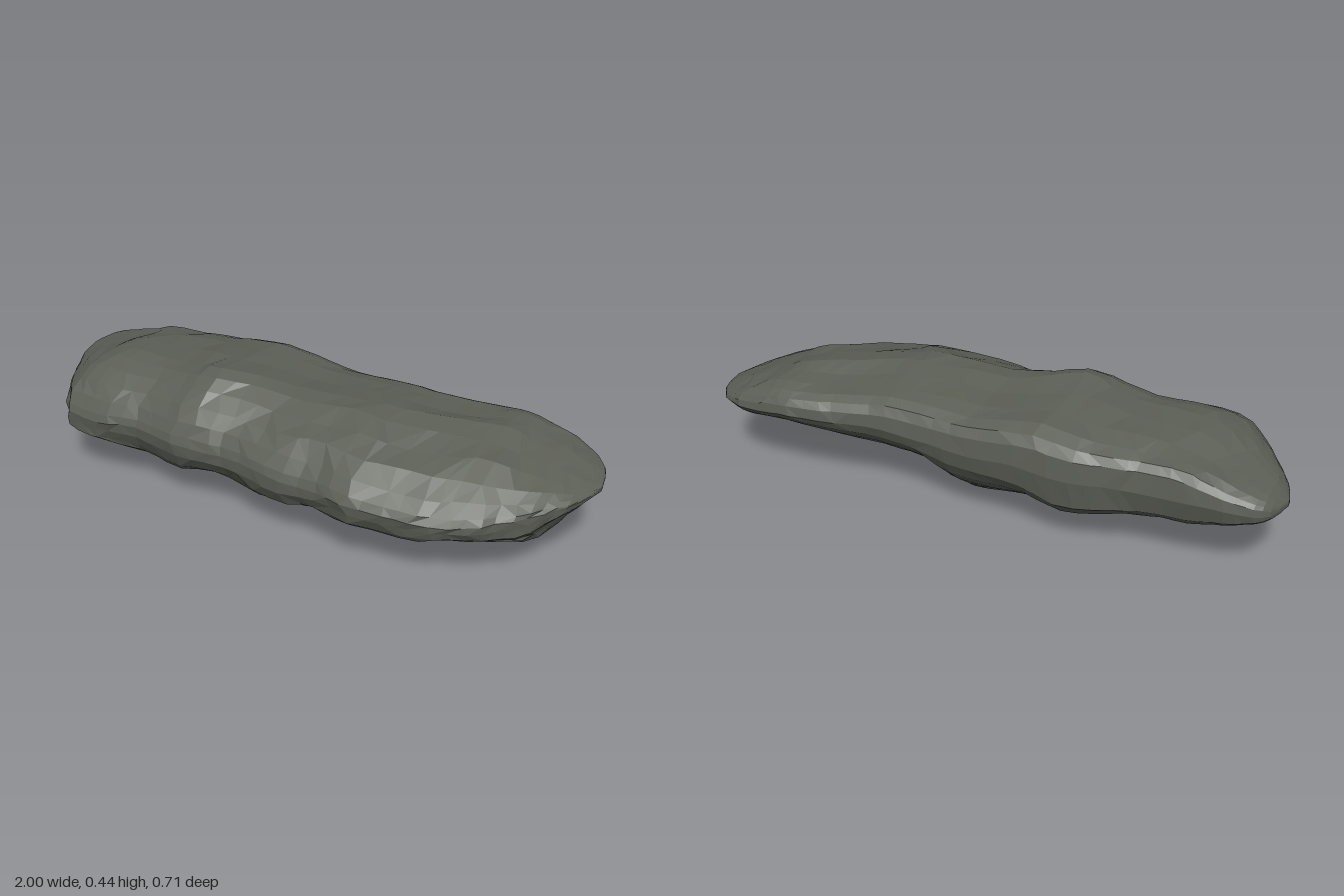
import * as THREE from 'three';

// Outline and height profiles along x: [x, value]
const BACK = [[-1, -0.09], [-0.98, -0.17], [-0.94, -0.21], [-0.85, -0.23], [-0.6, -0.25], [-0.35, -0.3], [-0.1, -0.295],
  [0.15, -0.285], [0.35, -0.295], [0.5, -0.33], [0.63, -0.357], [0.75, -0.357], [0.85, -0.345], [0.93, -0.305], [0.98, -0.24], [1, -0.15]];
const FRONT = [[-1, -0.07], [-0.98, 0.01], [-0.94, 0.09], [-0.85, 0.23], [-0.77, 0.33], [-0.6, 0.337], [-0.47, 0.31], [-0.31, 0.33],
  [-0.1, 0.3], [0.1, 0.33], [0.22, 0.32], [0.36, 0.352], [0.6, 0.315], [0.75, 0.24], [0.85, 0.15], [0.95, 0.02], [0.98, -0.05], [1, -0.13]];
const TOP = [[-1, 0.275], [-0.95, 0.32], [-0.85, 0.35], [-0.7, 0.405], [-0.4, 0.418], [-0.25, 0.445], [0, 0.413],
  [0.3, 0.42], [0.5, 0.395], [0.7, 0.385], [0.85, 0.335], [0.95, 0.295], [1, 0.27]];
const BOTTOM = [[-1, 0.255], [-0.95, 0.21], [-0.85, 0.13], [-0.73, 0.08], [-0.62, 0.1], [-0.4, 0.045], [-0.3, 0.03], [-0.17, 0.06],
  [0.04, 0.002], [0.13, 0.02], [0.2, 0.085], [0.3, 0.07], [0.45, 0.085], [0.65, 0.11], [0.86, 0.1], [0.92, 0.18], [1, 0.255]];
// Where the highest and lowest lines run, from back 0 to front 1
const PEAK = [[-1, 0.5], [-0.65, 0.55], [-0.25, 0.66], [0, 0.52], [0.3, 0.45], [0.7, 0.35], [1, 0.45]];
const KEEL = [[-1, 0.5], [-0.73, 0.75], [-0.3, 0.58], [-0.15, 0.5], [0.04, 0.47], [0.3, 0.55], [0.6, 0.66], [0.86, 0.72], [1, 0.5]];
// Roundness of the back, above and below the rim: smaller is fuller
const BACK_TOP = [[-1, 0.7], [-0.7, 0.5], [-0.3, 0.6], [0, 0.7], [0.4, 0.9], [1, 0.9]];
const BACK_BELOW = [[-1, 0.7], [-0.6, 0.5], [-0.3, 0.5], [0, 0.85], [0.4, 1], [0.86, 1.2], [1, 1]];

// Cross-section: [depth from back 0 to front 1, height -1 keel, 0 rim, 1 peak]
const SECTION = [[0, 0], [0.01, 0.3], [0.04, 0.53], [0.1, 0.7], [0.2, 0.84], [0.35, 0.94], [0.5, 1], [0.62, 0.96],
  [0.74, 0.84], [0.85, 0.63], [0.93, 0.39], [0.98, 0.16], [1, 0], [0.99, -0.2], [0.96, -0.42], [0.91, -0.53], [0.83, -0.61],
  [0.73, -0.72], [0.62, -0.92], [0.5, -1], [0.41, -0.95], [0.32, -0.84], [0.23, -0.69], [0.15, -0.53], [0.08, -0.37], [0.025, -0.18]];

const lerp = THREE.MathUtils.lerp;

function sample(table, x) {
  let i = 1;
  while (i < table.length - 1 && table[i][0] < x) i++;
  const [x0, a] = table[i - 1], [x1, b] = table[i];
  return lerp(a, b, THREE.MathUtils.clamp((x - x0) / (x1 - x0), 0, 1));
}

function hash(i, j) {
  const s = Math.sin(i * 127.1 + j * 311.7) * 43758.5453;
  return (s - Math.floor(s)) * 2 - 1;
}

// Smooth value noise between -1 and 1
function noise(x, y) {
  const i = Math.floor(x), j = Math.floor(y);
  const u = THREE.MathUtils.smoothstep(x - i, 0, 1), v = THREE.MathUtils.smoothstep(y - j, 0, 1);
  return lerp(lerp(hash(i, j), hash(i + 1, j), u), lerp(hash(i, j + 1), hash(i + 1, j + 1), u), v);
}

// Moves the middle of the 0-1 range to m
const shift = (d, m) => (d < 0.5 ? d * 2 * m : 1 - (1 - d) * 2 * (1 - m));

function rockGeometry() {
  const positions = [], index = [];
  const stations = 46, n = SECTION.length;

  for (let s = 0; s <= stations; s++) {
    // Stations crowd together towards the rounded ends
    const t = (s / stations) * 2 - 1;
    const x = lerp(t, Math.sin(t * Math.PI / 2), 0.75);
    const back = sample(BACK, x), front = sample(FRONT, x);
    const top = sample(TOP, x), bottom = sample(BOTTOM, x);
    const peak = sample(PEAK, x), keel = sample(KEEL, x);
    const fade = Math.min(1, (1 - Math.abs(x)) * 3);
    SECTION.forEach(([d0, h], k) => {
      const d = shift(d0, h >= 0 ? peak : keel);
      const power = d0 < 0.5 ? sample(h >= 0 ? BACK_TOP : BACK_BELOW, x) : 1;
      const rim = lerp(0.265, lerp(0.285, 0.24, d), fade) + fade * 0.012 * noise(x * 6, d * 3);
      let z = lerp(back, front, d);
      let y = lerp(rim, h > 0 ? top : bottom, Math.abs(h) ** power);
      // Slanting ridges on top, broken ledges on the underside and front
      const inner = Math.min(1, Math.abs(h) * 1.5) * fade;
      const ledge = h < 0 && d > 0.4;
      y += inner * (ledge ? 0.018 : 0.012) * noise(x * 4 + 9, (z + x * 0.3) * 14 + 30);
      if (ledge) z += inner * 0.02 * noise(x * 9 + 40, k * 0.7);
      positions.push(x + fade * 0.016 * hash(s, k), Math.max(0, y), z);
    });
  }

  // Skin between neighbouring sections
  for (let s = 0; s < stations; s++) {
    for (let k = 0; k < n; k++) {
      const a = s * n + k, b = s * n + (k + 1) % n, c = a + n, d = b + n;
      if (hash(s, k + 50) > 0) index.push(a, b, c, b, d, c);
      else index.push(a, b, d, a, d, c);
    }
  }

  // End caps
  for (const [s, x, flip] of [[0, -1, false], [stations, 1, true]]) {
    const centre = positions.length / 3;
    positions.push(x, 0.265, (sample(BACK, x) + sample(FRONT, x)) / 2);
    for (let k = 0; k < n; k++) {
      const a = s * n + k, b = s * n + (k + 1) % n;
      if (flip) index.push(centre, a, b);
      else index.push(centre, b, a);
    }
  }

  const geometry = new THREE.BufferGeometry();
  geometry.setAttribute('position', new THREE.Float32BufferAttribute(positions, 3));
  geometry.setIndex(index);
  // Rest the lowest point on the ground and centre the rock
  geometry.computeBoundingBox();
  const { min, max } = geometry.boundingBox;
  geometry.translate(-(min.x + max.x) / 2, -min.y, -(min.z + max.z) / 2);
  const faceted = geometry.toNonIndexed();
  faceted.computeVertexNormals();
  return faceted;
}

export function createModel() {
  const group = new THREE.Group();
  group.name = 'flatRock';
  const material = new THREE.MeshStandardMaterial({ color: 0x5c5f56, flatShading: true });
  const rock = new THREE.Mesh(rockGeometry(), material);
  rock.name = 'rock';
  group.add(rock);
  return group;
}
